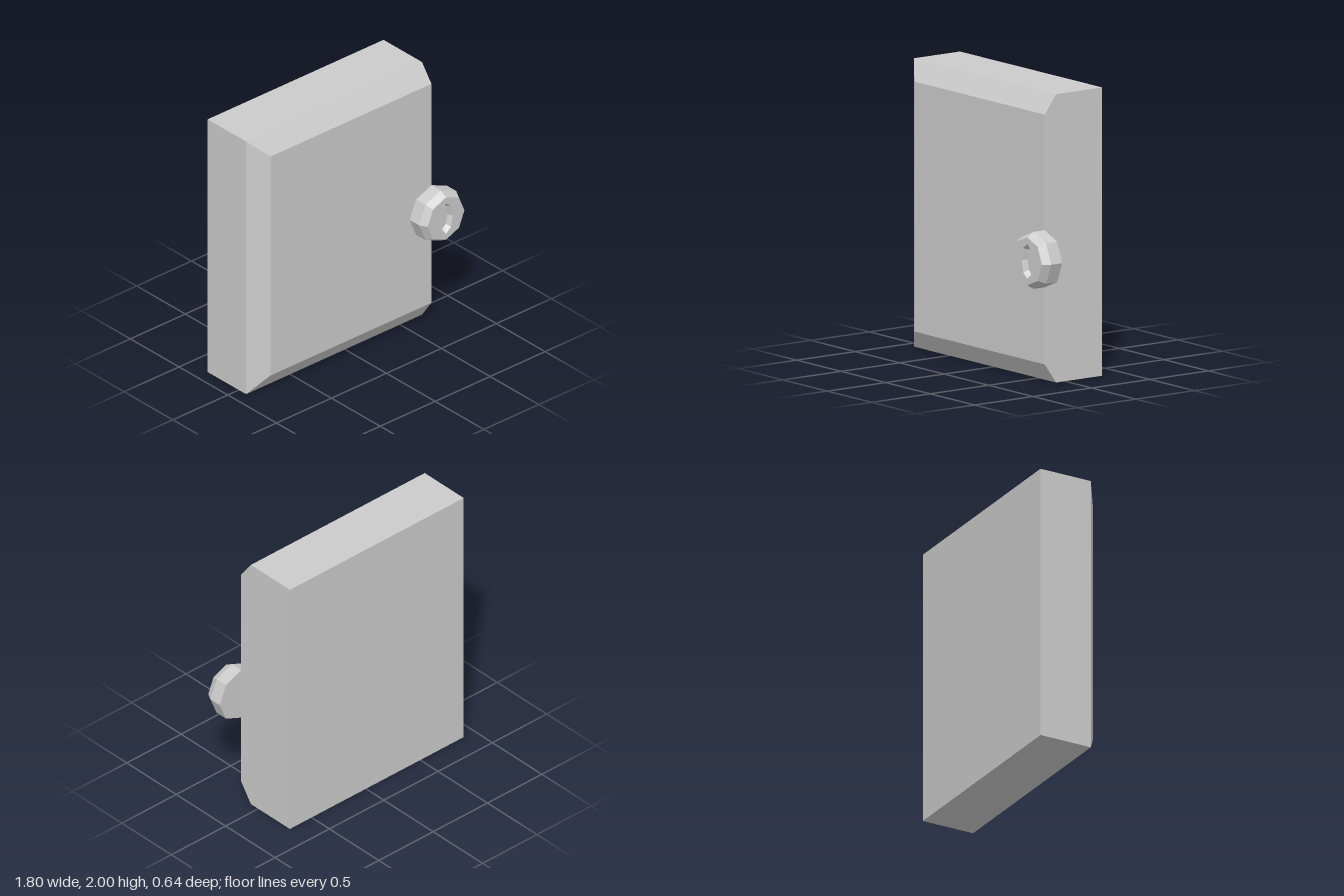
import * as THREE from 'three';

const material = new THREE.MeshStandardMaterial({ color: 0xcccccc, flatShading: true });

// Skins a run of cross-sections (counter-clockwise from the front, back to front) and caps both ends.
function loft(name, rings) {
  const n = rings[0].length;
  const index = [];
  rings.slice(1).forEach((_, r) => {
    for (let i = 0; i < n; i++) {
      const a = r * n + i, b = r * n + (i + 1) % n;
      index.push(a, b, b + n, a, b + n, a + n);
    }
  });
  const last = (rings.length - 1) * n;
  for (let i = 1; i < n - 1; i++) {
    index.push(0, i + 1, i, last, last + i, last + i + 1);
  }
  const geometry = new THREE.BufferGeometry();
  geometry.setAttribute('position', new THREE.Float32BufferAttribute(rings.flat(2), 3));
  geometry.setIndex(index);
  const flat = geometry.toNonIndexed();
  flat.computeVertexNormals();
  const mesh = new THREE.Mesh(flat, material);
  mesh.name = name;
  return mesh;
}

const rectangle = (x0, x1, y0, y1, z) => [[x0, y0, z], [x1, y0, z], [x1, y1, z], [x0, y1, z]];

const octagon = (rx, ry, z) => Array.from({ length: 8 }, (_, i) => {
  const a = i * Math.PI / 4;
  return [rx * Math.cos(a), ry * Math.sin(a), z];
});

export function createModel() {
  const model = new THREE.Group();
  model.name = 'door';

  // Slab, bevelled at the front on three edges; the knob-side edge stays square
  model.add(loft('doorPanel', [
    rectangle(-0.9, 0.7, 0, 2, -0.32),
    rectangle(-0.9, 0.7, 0, 2, 0.075),
    rectangle(-0.765, 0.7, 0.137, 1.87, 0.172),
  ]));

  // Knob overhanging the edge, with a tapered oval keyhole sunk into its face
  const knob = loft('knob', [
    octagon(0.198, 0.198, 0),
    octagon(0.198, 0.198, 0.095),
    octagon(0.167, 0.167, 0.15),
    octagon(0.062, 0.12, 0.15),
    octagon(0.047, 0.1, 0.11),
  ]);
  knob.position.set(0.7, 0.87, 0.172);
  model.add(knob);

  return model;
}
